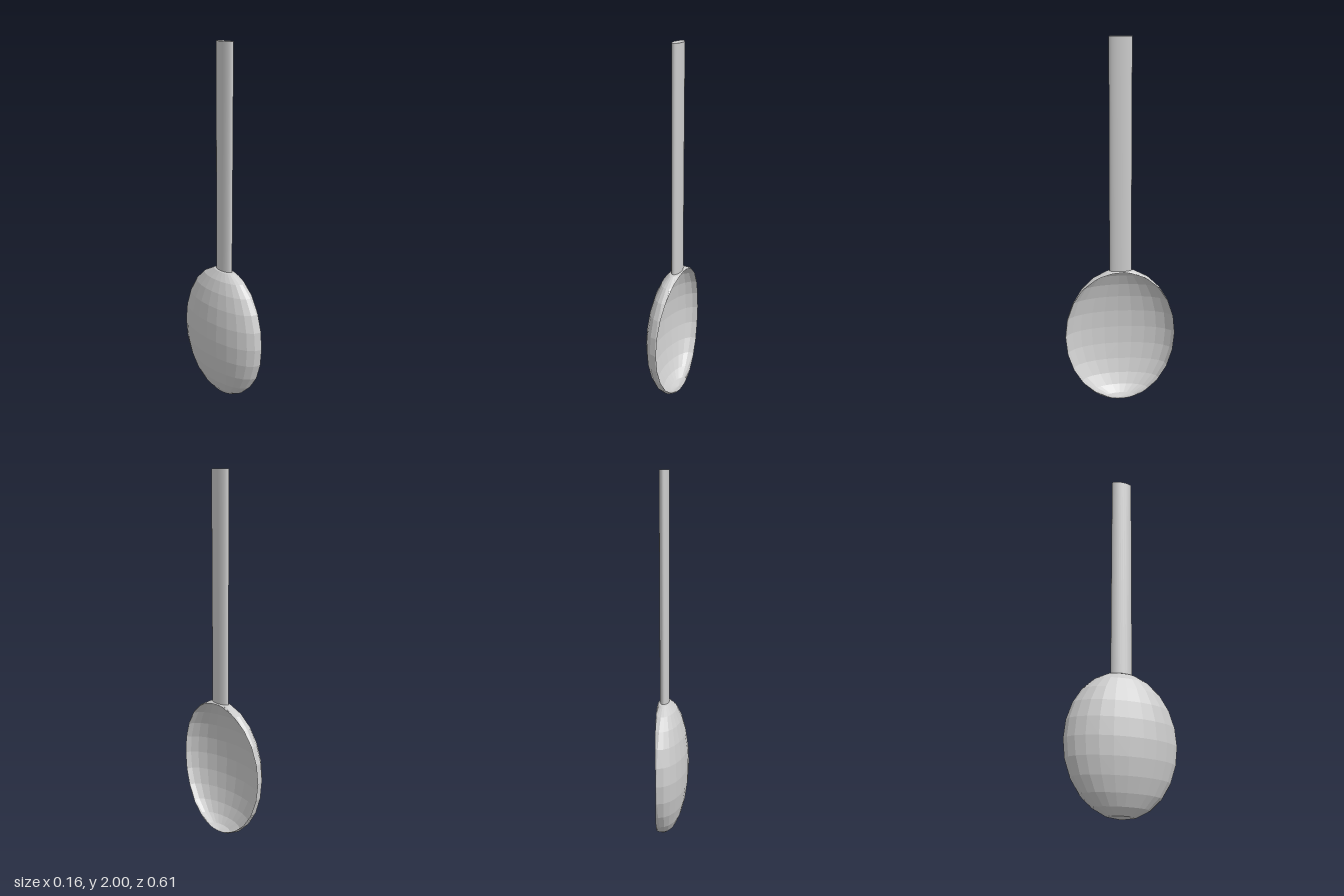
import * as THREE from 'three';

const CENTRE_Y = 0.391;
const OUTER = { x: 0.0475, a: 0.1305, b: 0.386, c: 0.305 };
const INNER = { x: 0.058, a: 0.13, b: 0.378, c: 0.303 };

// Point on the saddle-shaped rim at angle t (0 = towards the handle).
function rimPoint(t) {
  const x = 0.054 + 0.028 * Math.cos(t) ** 2;
  const r = Math.sqrt(1 - ((x - OUTER.x) / OUTER.a) ** 2);
  return [x, CENTRE_Y + OUTER.b * r * Math.cos(t), OUTER.c * r * Math.sin(t)];
}

// Faceted ellipsoid cut open at the rim; vertices past the rim are pulled back onto it.
function shell({ x, a, b, c }, inward) {
  const geo = new THREE.SphereGeometry(1, 24, 12);
  const pos = geo.attributes.position;
  const beyond = [];
  for (let i = 0; i < pos.count; i++) {
    const rim = rimPoint(Math.atan2(pos.getZ(i), pos.getY(i)));
    const px = x + a * pos.getX(i);
    beyond[i] = px > rim[0];
    if (beyond[i]) pos.setXYZ(i, ...rim);
    else pos.setXYZ(i, px, CENTRE_Y + b * pos.getY(i), c * pos.getZ(i));
  }
  const faces = [];
  const index = geo.index.array;
  for (let i = 0; i < index.length; i += 3) {
    const [p, q, r] = [index[i], index[i + 1], index[i + 2]];
    if (beyond[p] && beyond[q] && beyond[r]) continue;
    faces.push(...(inward ? [p, r, q] : [p, q, r]));
  }
  geo.setIndex(faces);
  const flat = geo.toNonIndexed();
  flat.computeVertexNormals();
  return flat;
}

export function createModel() {
  const model = new THREE.Group();
  model.name = 'spoon';

  // Bowl: thin outer and inner shells meeting at the rim, open towards +x
  const bowlMaterial = new THREE.MeshStandardMaterial({
    color: 0xcccccc, flatShading: true, side: THREE.DoubleSide,
  });
  const bowl = new THREE.Group();
  bowl.name = 'bowl';
  const outside = new THREE.Mesh(shell(OUTER, false), bowlMaterial);
  outside.name = 'bowlOutside';
  const inside = new THREE.Mesh(shell(INNER, true), bowlMaterial);
  inside.name = 'bowlInside';
  bowl.add(outside, inside);

  // Handle: straight rod with an oval section
  const bottom = 0.768, top = 2;
  const rod = new THREE.CylinderGeometry(1, 1, top - bottom, 32);
  rod.scale(0.0255, 1, 0.06);
  rod.translate(OUTER.x, (top + bottom) / 2, 0);
  const handle = new THREE.Mesh(rod, new THREE.MeshStandardMaterial({ color: 0xcccccc }));
  handle.name = 'handle';

  model.add(bowl, handle);
  return model;
}
